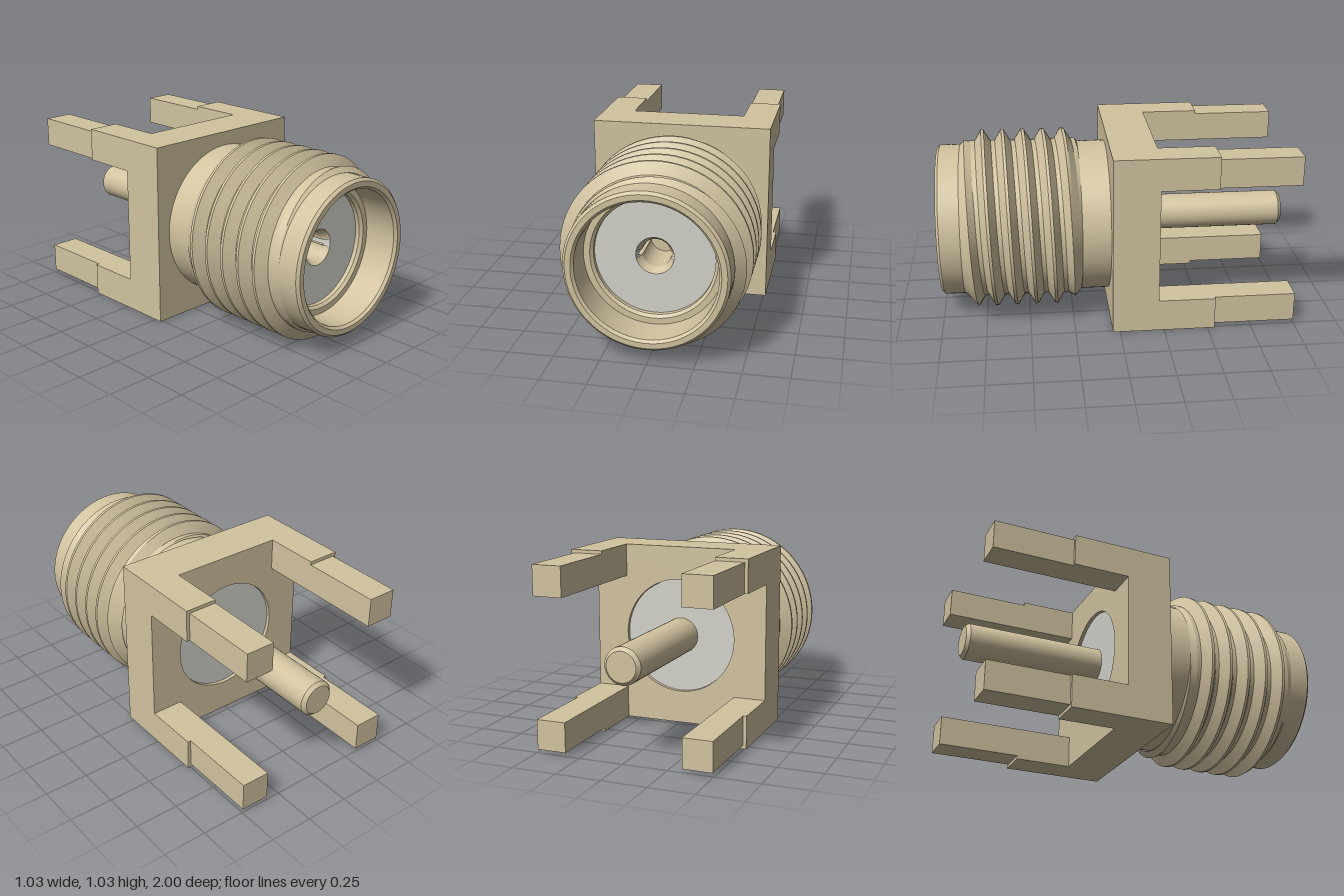
import * as THREE from 'three';
import { toCreasedNormals } from 'three/addons/utils/BufferGeometryUtils.js';

const metal = new THREE.MeshStandardMaterial({ color: 0xd2c3a0 });
const metalThin = new THREE.MeshStandardMaterial({ color: 0xd2c3a0, side: THREE.DoubleSide });
const plastic = new THREE.MeshStandardMaterial({ color: 0xd3d3cb });

const HALF = 0.514;   // half width of the square flange
const INNER = 0.33;   // inner edge of the legs

// Turned part around the z axis; profile is [radius, z]
function turned(profile, start = 0, length = Math.PI * 2, segments = 96) {
  const points = profile.map(([r, z]) => new THREE.Vector2(r, z));
  const geo = new THREE.LatheGeometry(points, segments, start, length);
  return toCreasedNormals(geo.rotateX(Math.PI / 2), 0.5);
}

// Helical V thread: each flank, crest and root is its own smooth band
function threadGeometry() {
  const pitch = 0.115, z0 = 0.2, z1 = 0.87, steps = 72;
  const profile = [[-0.0455, 0.452], [-0.008, HALF], [0.008, HALF], [0.0455, 0.452], [pitch - 0.0455, 0.452]];
  const positions = [], index = [];
  const addPoint = ([dz, r], turn, t) => {
    const raw = 0.737 - pitch * (turn + t) + dz;
    const z = THREE.MathUtils.clamp(raw, z0, z1);
    // chamfer at both thread ends
    const radius = Math.min(r, 0.44 + (z - z0) * 1.1, 0.437 + (z1 - z));
    const a = t * Math.PI * 2;
    positions.push(radius * Math.sin(a), radius * Math.cos(a), z);
    return z;
  };
  for (let turn = -3; turn <= 6; turn++) {
    for (let k = 0; k < 4; k++) {
      const base = positions.length / 3;
      let wasEmpty = true;
      for (let s = 0; s <= steps; s++) {
        const za = addPoint(profile[k], turn, s / steps);
        const zb = addPoint(profile[k + 1], turn, s / steps);
        const empty = zb - za < 1e-6;
        if (s > 0 && !(empty && wasEmpty)) {
          const a = base + 2 * (s - 1);
          index.push(a, a + 1, a + 2, a + 2, a + 1, a + 3);
        }
        wasEmpty = empty;
      }
    }
  }
  const geo = new THREE.BufferGeometry();
  geo.setAttribute('position', new THREE.Float32BufferAttribute(positions, 3));
  geo.setIndex(index);
  geo.computeVertexNormals();
  return geo;
}

export function createModel() {
  const model = new THREE.Group();
  model.name = 'coaxialConnector';
  const body = new THREE.Group();
  body.name = 'body';
  body.position.y = HALF;
  model.add(body);

  const add = (name, geo, material = metal) => {
    const mesh = new THREE.Mesh(geo, material);
    mesh.name = name;
    body.add(mesh);
    return mesh;
  };

  // Square flange with a round bore
  const square = new THREE.Shape([
    new THREE.Vector2(-HALF, -HALF), new THREE.Vector2(HALF, -HALF),
    new THREE.Vector2(HALF, HALF), new THREE.Vector2(-HALF, HALF)]);
  square.holes.push(new THREE.Path().absarc(0, 0, 0.327, 0, Math.PI * 2, true));
  const flange = new THREE.ExtrudeGeometry(square, { depth: 0.26, bevelEnabled: false, curveSegments: 48 });
  add('flange', toCreasedNormals(flange.translate(0, 0, -0.22), 0.5));

  // Four mounting legs, each stepping down to a thinner tip
  const addLeg = (name, sx, sy, outer, zFront, zBack) => {
    const width = outer - INNER, mid = (outer + INNER) / 2;
    const leg = add(name, new THREE.BoxGeometry(width, width, zFront - zBack));
    leg.position.set(sx * mid, sy * mid, (zFront + zBack) / 2);
  };
  for (const sx of [-1, 1]) {
    for (const sy of [-1, 1]) {
      addLeg('legBase', sx, sy, HALF, -0.22, -0.54);
      addLeg('legTip', sx, sy, 0.495, -0.54, -1);
    }
  }

  // Hollow barrel with stepped bore
  add('barrel', turned([
    [0.435, 0.03], [0.435, 0.985], [0.42, 1], [0.39, 1], [0.376, 0.985],
    [0.376, 0.8], [0.342, 0.8], [0.326, 0.785], [0.326, 0]]));
  add('thread', threadGeometry());

  // Insulator filling the bore
  add('insulator', turned([
    [0.1, -0.2], [0.326, -0.2], [0.326, 0.76], [0.103, 0.76], [0.103, 0.48]]), plastic);

  // Centre pin, its front end forming the socket floor
  add('centrePin', turned([
    [0, -1], [0.083, -1], [0.102, -0.98], [0.102, 0.5], [0, 0.5]], 0, Math.PI * 2, 48));

  // Split socket: two countersunk jaws with a horizontal slot between
  const gap = 0.2;
  for (const side of [-1, 1]) {
    add('socketJaw', turned([
      [0.1025, 0.5], [0.1025, 0.76], [0.079, 0.72], [0.079, 0.5]],
      side * Math.PI / 2 + gap, Math.PI - 2 * gap, 40));
    for (const up of [-1, 1]) {
      const wall = add('slotWall', new THREE.PlaneGeometry(0.024, 0.22), metalThin);
      wall.rotation.x = Math.PI / 2;
      wall.position.set(side * 0.089, up * 0.018, 0.61);
    }
  }
  return model;
}
